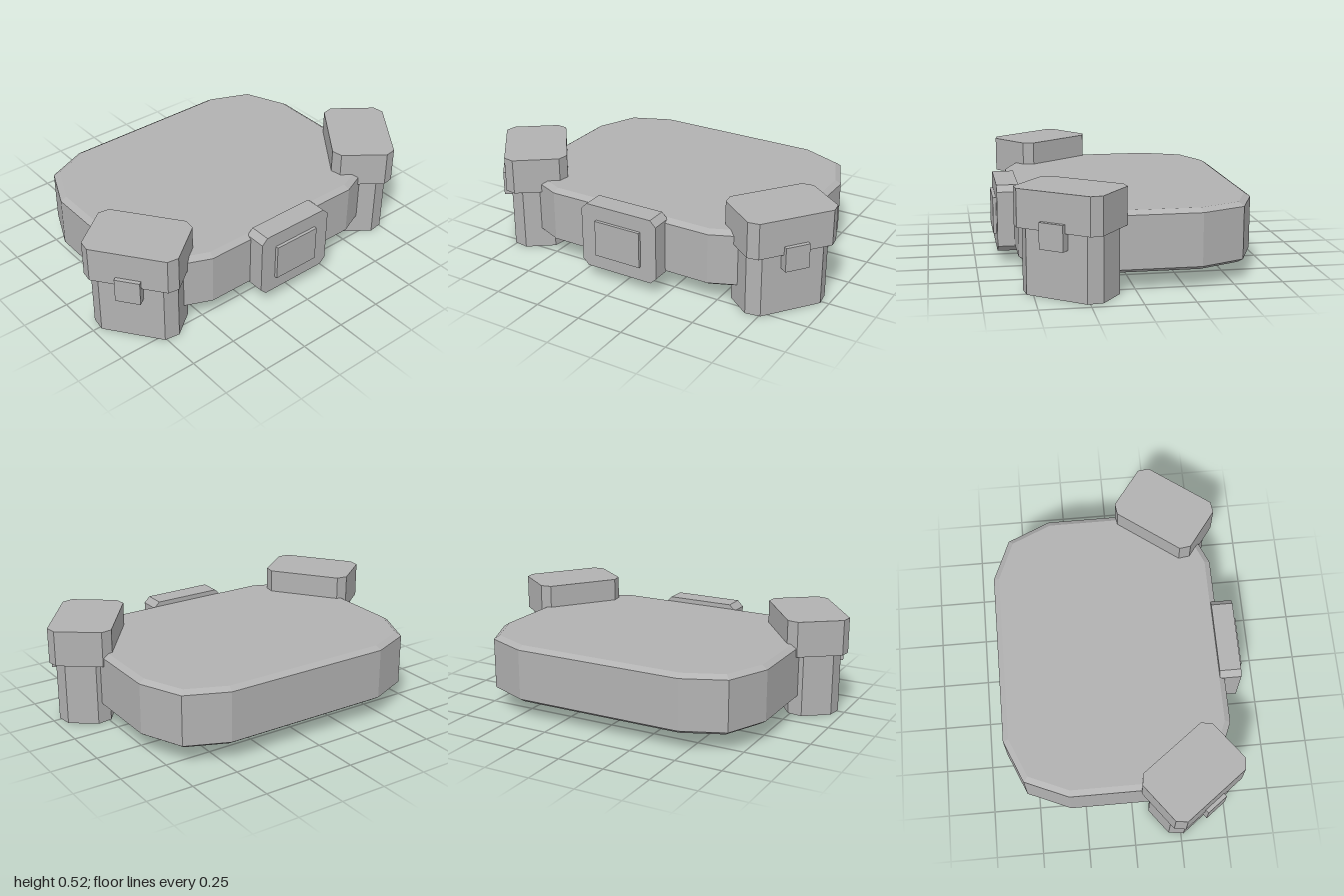
import * as THREE from 'three';

const grey = new THREE.MeshStandardMaterial({ color: 0xb2b2b2 });
grey.name = 'plain grey';

// Rectangle outline with half sizes a, b and corners cut back by c
function cutRect(a, b, c) {
  const pts = [[a - c, b], [-a + c, b], [-a, b - c], [-a, -b + c], [-a + c, -b], [a - c, -b], [a, -b + c], [a, b - c]];
  return new THREE.Shape(pts.map(([x, y]) => new THREE.Vector2(x, y)));
}

function addMesh(parent, name, geometry) {
  const mesh = new THREE.Mesh(geometry, grey);
  mesh.name = name;
  parent.add(mesh);
  return mesh;
}

// Upright prism with a cut-corner footprint
function prism(a, b, c, y0, y1) {
  return new THREE.ExtrudeGeometry(cutRect(a, b, c), { depth: y1 - y0, bevelEnabled: false })
    .rotateX(-Math.PI / 2).translate(0, y0, 0);
}

export function createModel() {
  const model = new THREE.Group();
  model.name = 'model';

  // Body: two-step rounded corners in plan, bevelled top and bottom rims
  const quarter = [[0.79, 0.275], [0.69, 0.505], [0.465, 0.6]];
  const back = quarter.slice().reverse();
  const outline = [
    ...quarter,
    ...back.map(([x, y]) => [-x, y]),
    ...quarter.map(([x, y]) => [-x, -y]),
    ...back.map(([x, y]) => [x, -y]),
  ].map(([x, y]) => new THREE.Vector2(x, y));
  const body = new THREE.ExtrudeGeometry(new THREE.Shape(outline), {
    depth: 0.27, bevelThickness: 0.02, bevelSize: 0.03, bevelOffset: -0.03, bevelSegments: 1,
  });
  body.rotateX(-Math.PI / 2).translate(0, 0.11, -0.054);
  addMesh(model, 'body', body);

  // Front plate with a raised panel
  const plate = new THREE.ExtrudeGeometry(cutRect(0.222, 0.177, 0.032), { depth: 0.115, bevelEnabled: false });
  addMesh(model, 'frontPlate', plate).position.set(0, 0.247, 0.52);
  addMesh(model, 'frontPanel', new THREE.BoxGeometry(0.264, 0.195, 0.04)).position.set(0, 0.247, 0.632);

  // Mirrored corner posts, turned outward, each with a cap and a latch
  for (const [side, label] of [[1, 'left'], [-1, 'right']]) {
    const corner = new THREE.Group();
    corner.name = label + 'Corner';
    corner.position.set(side * 0.748, 0, 0.315);
    corner.rotation.y = side * Math.atan2(0.8, 0.6);
    addMesh(corner, label + 'Post', prism(0.224, 0.138, 0.057, 0, 0.335));
    addMesh(corner, label + 'Cap', prism(0.243, 0.166, 0.043, 0.335, 0.525));
    addMesh(corner, label + 'Latch', new THREE.BoxGeometry(0.13, 0.13, 0.07)).position.set(0, 0.315, 0.152);
    model.add(corner);
  }
  return model;
}
